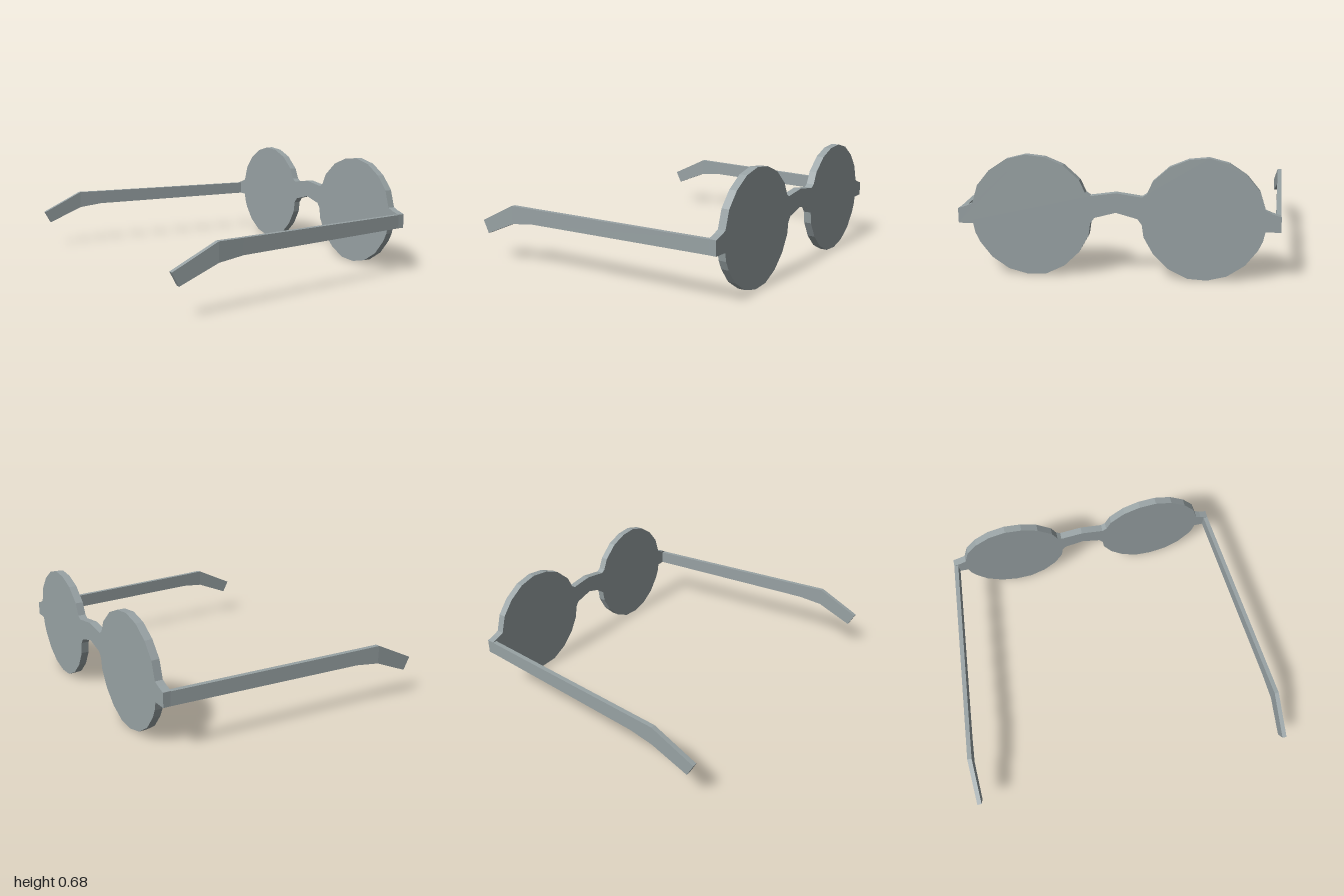
import * as THREE from 'three';

// Half outline of the front frame as [distance from the middle, height]
const upper = [[0, 0.478], [0.142, 0.458], [0.168, 0.475], [0.2, 0.545], [0.29, 0.626], [0.393, 0.668],
  [0.5, 0.679], [0.607, 0.652], [0.703, 0.588], [0.773, 0.503], [0.805, 0.401], [0.838, 0.386], [0.888, 0.37]];
const lower = [[0.888, 0.286], [0.805, 0.285], [0.795, 0.235], [0.77, 0.182], [0.703, 0.095], [0.607, 0.03],
  [0.5, 0.002], [0.393, 0.008], [0.29, 0.058], [0.206, 0.139], [0.152, 0.235], [0.142, 0.305], [0.118, 0.337], [0, 0.369]];

// Temple cross-sections from tip to hinge: top and bottom as [x, y], middle z
const sections = [
  { top: [-0.82, 0.248], bottom: [-0.78, 0.172], z: 0.986 },
  { top: [-0.555, 0.373], bottom: [-0.555, 0.263], z: 0.986 },
  { top: [-0.4, 0.372], bottom: [-0.4, 0.281], z: 0.973 },
  { top: [0.778, 0.368], bottom: [0.778, 0.286], z: 0.875 },
];

// Bend a segmented box through the temple sections
function templeGeometry(side) {
  const n = sections.length - 1;
  const geometry = new THREE.BoxGeometry(1, 1, 1, n, 1, 1);
  const p = geometry.attributes.position;
  for (let i = 0; i < p.count; i++) {
    const s = sections[Math.round((p.getX(i) + 0.5) * n)];
    const [x, y] = p.getY(i) > 0 ? s.top : s.bottom;
    p.setXYZ(i, x, y, side * s.z + p.getZ(i) * 0.027);
  }
  const flat = geometry.toNonIndexed();
  flat.computeVertexNormals();
  return flat;
}

export function createModel() {
  const group = new THREE.Group();
  group.name = 'glasses';
  const grey = new THREE.MeshStandardMaterial({ color: 0x98a2a4 });
  grey.name = 'grey';

  // Lenses, bridge and end pieces share one flat plate
  const half = [...upper, ...lower];
  const mirrored = half.slice(1, -1).reverse().map(([u, y]) => [-u, y]);
  const outline = [...half, ...mirrored].map(([u, y]) => new THREE.Vector2(u, y));
  const plate = new THREE.ExtrudeGeometry(new THREE.Shape(outline), { depth: 0.046, bevelEnabled: false });
  plate.rotateY(Math.PI / 2).translate(0.774, 0, 0);
  const frame = new THREE.Mesh(plate, grey);
  frame.name = 'lensFrame';
  group.add(frame);

  // Temples, one on each side
  for (const side of [1, -1]) {
    const temple = new THREE.Mesh(templeGeometry(side), grey);
    temple.name = side > 0 ? 'templeLeft' : 'templeRight';
    group.add(temple);
  }
  return group;
}
